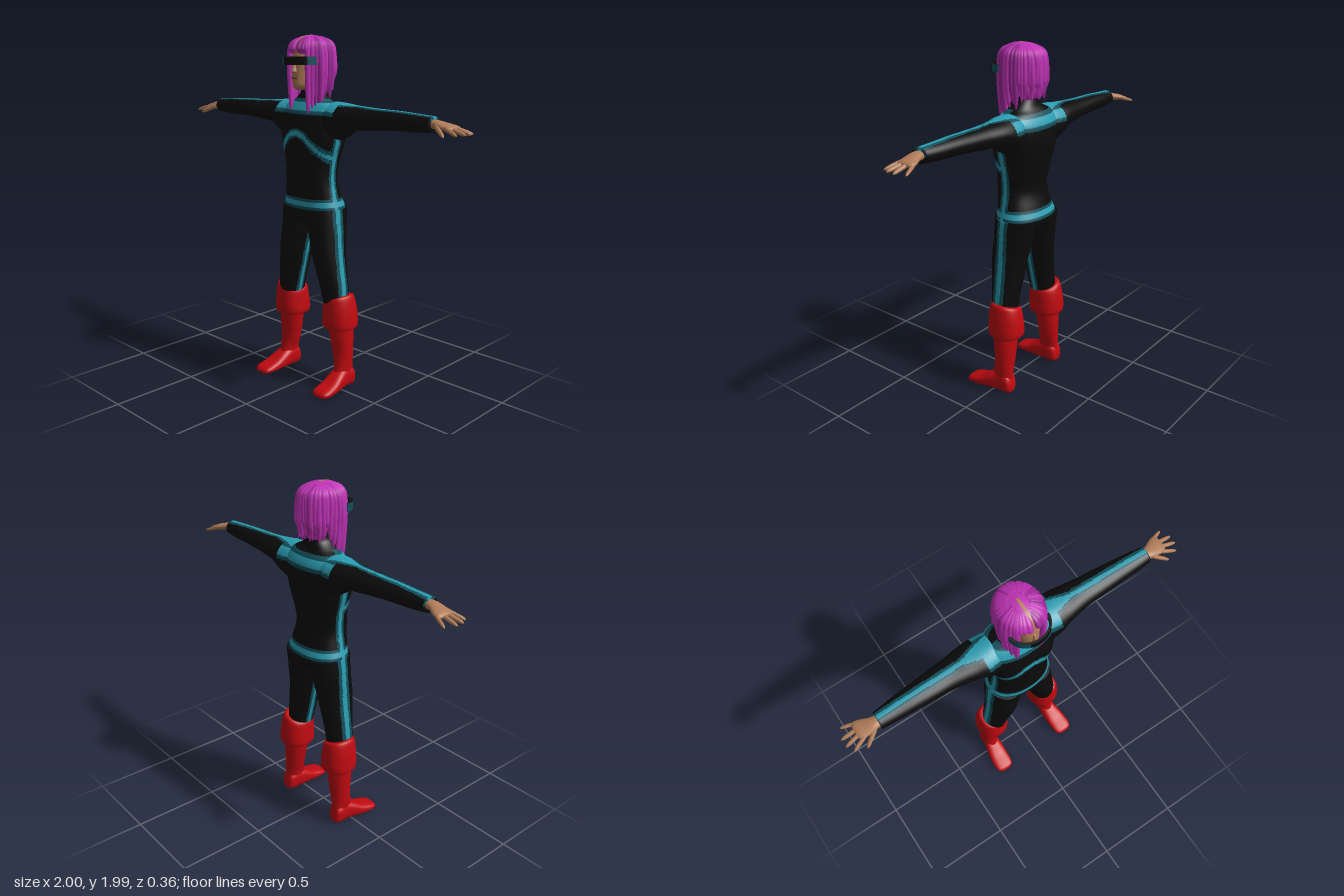
import * as THREE from 'three';

const mat = (name, color) => Object.assign(new THREE.MeshStandardMaterial({ color }), { name });
const black = mat('suit black', 0x0b0b0b);
const darkTeal = mat('dark teal', 0x124f5b);
const teal = mat('bright teal', 0x2b9db1);
const red = mat('boot red', 0xc00a10);
const skin = mat('skin', 0xb07c58);
const lips = mat('lip brown', 0x7a4a38);
const hair = mat('hair magenta', 0xc033b6);
const hairDark = mat('hair dark magenta', 0xa0289a);
const suit = [black, darkTeal, teal];

// Smooth loft through rings [t, u0, u1, v0, v1], t ascending.
// Axis y: u = x, v = z. Axis x: u = z, v = y. Axis z: u = y, v = x.
const place = {
  y: (t, u, v) => [u, t, v],
  x: (t, u, v) => [t, v, u],
  z: (t, u, v) => [v, u, t],
};
function loft(axis, rings, sides = 24, steps = 24, power = 1) {
  const at = (s) => {
    const i = Math.min(Math.floor(s), rings.length - 2), f = s - i;
    const p = [-1, 0, 1, 2].map((k) => rings[THREE.MathUtils.clamp(i + k, 0, rings.length - 1)]);
    return p[0].map((_, c) => {
      const [a, b, d, e] = p.map((r) => r[c]);
      return b + 0.5 * f * (d - a + f * (2 * a - 5 * b + 4 * d - e + f * (3 * (b - d) + e - a)));
    });
  };
  const bend = (w) => Math.sign(w) * Math.abs(w) ** power;
  const pos = [], index = [];
  for (let i = 0; i <= steps; i++) {
    const [t, u0, u1, v0, v1] = at((i / steps) * (rings.length - 1));
    for (let j = 0; j < sides; j++) {
      const q = (j / sides) * Math.PI * 2;
      const u = (u0 + u1) / 2 + ((u1 - u0) / 2) * bend(Math.cos(q));
      const v = (v0 + v1) / 2 + ((v1 - v0) / 2) * bend(Math.sin(q));
      pos.push(...place[axis](t, u, v));
      if (i === steps) continue;
      const a = i * sides + j, c = i * sides + ((j + 1) % sides);
      index.push(a, a + sides, c, a + sides, c + sides, c);
    }
  }
  // end caps
  [rings[0], rings[rings.length - 1]].forEach(([t, u0, u1, v0, v1], end) => {
    const centre = pos.length / 3, base = end * steps * sides;
    pos.push(...place[axis](t, (u0 + u1) / 2, (v0 + v1) / 2));
    for (let j = 0; j < sides; j++) {
      const a = base + j, b = base + ((j + 1) % sides);
      index.push(centre, ...(end ? [b, a] : [a, b]));
    }
  });
  const g = new THREE.BufferGeometry();
  g.setAttribute('position', new THREE.Float32BufferAttribute(pos, 3));
  g.setIndex(index);
  g.computeVertexNormals();
  return g;
}

// Sort the triangles into material groups by a rule on their centres.
function paint(g, rule) {
  const p = g.attributes.position;
  const idx = g.index ? [...g.index.array] : [...Array(p.count).keys()];
  const bins = [[], [], []];
  for (let i = 0; i < idx.length; i += 3) {
    const tri = idx.slice(i, i + 3);
    const mid = (get) => tri.reduce((s, k) => s + p[get](k), 0) / 3;
    bins[rule(mid('getX'), mid('getY'), mid('getZ'))].push(...tri);
  }
  g.setIndex(bins.flat());
  g.clearGroups();
  let start = 0;
  bins.forEach((b, m) => { if (b.length) g.addGroup(start, b.length, m); start += b.length; });
  return g;
}

function mirrorX(g) {
  const m = g.clone().scale(-1, 1, 1), a = m.index.array;
  for (let i = 0; i < a.length; i += 3) [a[i + 1], a[i + 2]] = [a[i + 2], a[i + 1]];
  m.computeVertexNormals();
  return m;
}

// Stripe rules: 2 = bright core, 1 = dark edge, 0 = plain suit
const band = (d, core, edge) => (Math.abs(d) < core ? 2 : Math.abs(d) < edge ? 1 : 0);
const yoke = (y, z) => band(y - (z > -0.04 ? 1.605 : 1.585), 0.022, 0.042);
const waist = (y) => band(y - 1.07, 0.015, 0.03);
function torsoRule(x, y, z) {
  const ax = Math.abs(x);
  const chevron = z > 0 ? band(y - 1.465 + (ax > 0.05 ? ax - 0.035 : ax * 0.3), 0.014, 0.022 + 0.12 * ax) : 0;
  const side = ax > 0.12 && y < 1.5 && y > 1 ? band(z + 0.018, 0.013, 0.028) : 0;
  return Math.max(yoke(y, z), waist(y), chevron, side);
}
function legRule(x, y, z) {
  const mid = 0.1 + (0.95 - y) * 0.18;
  const stripe = x > mid ? band(z + 0.025, 0.015, 0.036) : y < 0.88 ? band(z + 0.025, 0.01, 0.026) : 0;
  return Math.max(stripe, waist(y));
}
function armRule(x, y, z) {
  const wide = Math.max(0, 0.32 - x) * 0.3;
  const stripe = y > 1.56 ? band(z + 0.042, 0.011 + wide, 0.028 + wide) : 0;
  return Math.max(stripe, x < 0.22 ? yoke(y, z) : 0);
}

export function createModel() {
  const model = new THREE.Group();
  const add = (name, g, m) => {
    const mesh = new THREE.Mesh(g, m);
    mesh.name = name;
    model.add(mesh);
  };
  const pair = (name, g, m) => {
    add(name + 'Left', g, m);
    add(name + 'Right', mirrorX(g), m);
  };

  // Torso with neck: [y, half width, back, front]
  const torso = [
    [0.93, 0.07, -0.1, 0.03], [0.97, 0.15, -0.15, 0.07], [1.03, 0.192, -0.175, 0.09],
    [1.1, 0.175, -0.155, 0.092], [1.2, 0.158, -0.13, 0.098], [1.3, 0.165, -0.145, 0.102],
    [1.4, 0.19, -0.165, 0.113], [1.48, 0.205, -0.172, 0.108], [1.56, 0.213, -0.165, 0.085],
    [1.61, 0.185, -0.14, 0.06], [1.645, 0.115, -0.11, 0.04], [1.68, 0.07, -0.095, 0.035],
    [1.72, 0.06, -0.08, 0.04],
  ].map(([y, w, b, f]) => [y, -w, w, b, f]);
  add('torso', paint(loft('y', torso, 96, 120, 0.9), torsoRule), suit);

  // Legs
  pair('leg', paint(loft('y', [
    [0.5, 0.11, 0.25, -0.11, 0.045], [0.6, 0.085, 0.243, -0.11, 0.055], [0.7, 0.06, 0.228, -0.12, 0.07],
    [0.8, 0.035, 0.215, -0.13, 0.083], [0.93, 0.003, 0.205, -0.152, 0.082], [1.04, 0, 0.193, -0.17, 0.085],
  ], 72, 60), legRule), suit);

  // Arms
  pair('arm', paint(loft('x', [
    [0.06, -0.12, 0.03, 1.47, 1.6], [0.14, -0.15, 0.06, 1.42, 1.63], [0.21, -0.155, 0.065, 1.435, 1.63],
    [0.28, -0.148, 0.05, 1.48, 1.622], [0.4, -0.13, 0.03, 1.497, 1.615], [0.5, -0.12, 0.025, 1.505, 1.612],
    [0.6, -0.11, 0.02, 1.51, 1.61], [0.7, -0.1, 0.015, 1.512, 1.605], [0.805, -0.085, 0.008, 1.518, 1.6],
  ], 64, 80), armRule), suit);

  // Hands: palm, then fingers as [start, end, radius]
  pair('palm', loft('x', [
    [0.78, -0.068, -0.012, 1.535, 1.585], [0.83, -0.076, -0.003, 1.538, 1.582], [0.88, -0.1, 0, 1.53, 1.57],
    [0.91, -0.106, -0.005, 1.53, 1.562], [0.925, -0.09, -0.02, 1.538, 1.552],
  ], 20, 16), skin);
  [
    [[0.89, 1.547, -0.012], [0.975, 1.522, 0.018], 0.012],
    [[0.9, 1.547, -0.038], [0.998, 1.524, -0.022], 0.012],
    [[0.9, 1.547, -0.064], [1, 1.523, -0.066], 0.012],
    [[0.89, 1.546, -0.09], [0.975, 1.52, -0.122], 0.011],
    [[0.83, 1.555, -0.015], [0.915, 1.513, 0.036], 0.015],
  ].forEach(([a, b, r], i) => {
    const rings = [[0, 1], [0.5, 0.95], [0.85, 0.75], [1, 0.2]].map(([f, k]) => {
      const [x, y, z] = a.map((v, c) => v + (b[c] - v) * f);
      return [x, z - r * k, z + r * k, y - r * k, y + r * k];
    });
    pair(i < 4 ? 'finger' + (i + 1) : 'thumb', loft('x', rings, 10, 9), skin);
  });

  // Boots: shaft, foot and slanted cuff
  pair('bootShaft', loft('y', [
    [0.06, 0.18, 0.265, -0.115, 0.03], [0.12, 0.177, 0.266, -0.113, 0.012], [0.2, 0.155, 0.27, -0.115, 0.005],
    [0.3, 0.135, 0.272, -0.12, 0.015], [0.4, 0.12, 0.27, -0.12, 0.02],
  ]), red);
  pair('bootFoot', loft('z', [
    [-0.118, 0.015, 0.06, 0.2, 0.25], [-0.1, 0, 0.11, 0.18, 0.268], [-0.04, 0, 0.125, 0.175, 0.27],
    [0.02, 0, 0.1, 0.173, 0.282], [0.08, 0, 0.066, 0.174, 0.293], [0.14, 0, 0.046, 0.178, 0.296],
    [0.17, 0.001, 0.035, 0.19, 0.285], [0.182, 0.008, 0.02, 0.215, 0.26],
  ], 28, 28, 0.75), red);
  const cuff = loft('y', [
    [0.355, 0.13, 0.262, -0.115, 0.015], [0.365, 0.098, 0.288, -0.15, 0.048], [0.45, 0.1, 0.283, -0.148, 0.052],
    [0.525, 0.106, 0.268, -0.132, 0.045], [0.54, 0.125, 0.25, -0.115, 0.03],
  ], 32, 20, 0.9);
  const cp = cuff.attributes.position;
  for (let i = 0; i < cp.count; i++) cp.setY(i, cp.getY(i) + (cp.getX(i) - 0.19) * (cp.getY(i) - 0.36) * 1.5);
  cuff.computeVertexNormals();
  pair('bootCuff', cuff, red);

  // Head, nose and mouth
  add('head', loft('y', [
    [1.695, -0.025, 0.025, 0.03, 0.1], [1.715, -0.043, 0.043, 0, 0.116], [1.75, -0.06, 0.06, -0.06, 0.118],
    [1.79, -0.07, 0.07, -0.1, 0.117], [1.84, -0.078, 0.078, -0.115, 0.113], [1.9, -0.08, 0.08, -0.12, 0.1],
    [1.95, -0.06, 0.06, -0.09, 0.07],
  ], 32, 30), skin);
  add('nose', loft('y', [
    [1.784, -0.006, 0.006, 0.09, 0.122], [1.791, -0.015, 0.015, 0.09, 0.137],
    [1.81, -0.011, 0.011, 0.09, 0.132], [1.85, -0.008, 0.008, 0.09, 0.118],
  ], 12, 10), skin);
  const mouth = new THREE.BoxGeometry(0.042, 0.01, 0.008);
  add('mouth', mouth.translate(0, 1.757, 0.114), lips);

  // Wraparound visor
  const arc = new THREE.Shape();
  arc.absellipse(0, 0.065, 0.112, 0.095, 0, Math.PI, false, 0);
  arc.absellipse(0, 0.065, 0.1, 0.083, Math.PI, 0, true, 0);
  const visor = new THREE.ExtrudeGeometry(arc, { depth: 0.044, bevelEnabled: false, curveSegments: 32 });
  visor.rotateX(Math.PI / 2).translate(0, 1.872, 0);
  add('visor', paint(visor, (x, y) => (y > 1.83 && y < 1.87 && (x < -0.045 || x > 0.095) ? 1 : 0)), suit);

  // Hair: crown with a parting, and the mass behind the head
  const crown = loft('y', [
    [1.885, -0.1, 0.1, -0.135, 0.102], [1.91, -0.104, 0.104, -0.138, 0.106], [1.95, -0.085, 0.085, -0.115, 0.09],
    [1.975, -0.045, 0.045, -0.07, 0.05], [1.984, -0.008, 0.008, -0.02, 0],
  ], 64, 24);
  add('hairCrown', paint(crown, (x, y, z) => (Math.abs(x) < 0.008 && z > -0.03 ? 1 : 0)), [hair, skin]);
  add('hairBack', loft('y', [
    [1.7, -0.08, 0.08, -0.115, -0.04], [1.75, -0.1, 0.1, -0.138, -0.01],
    [1.85, -0.108, 0.108, -0.142, 0.02], [1.91, -0.1, 0.1, -0.135, 0.03],
  ], 32, 16), hair);

  // Hair locks hanging all round: short fringe, long by the face, medium behind
  let seed = 7;
  const noise = () => ((seed = (seed * 16807) % 2147483647) / 2147483647) * 2 - 1;
  for (const s of [-1, 1]) for (let deg = 14; deg <= 178; deg += 9) {
    const q = THREE.MathUtils.degToRad(deg + noise() * 3);
    const tip = deg < 38 ? 1.885 + noise() * 0.015
      : (deg < 85 ? 1.59 : deg < 112 ? 1.66 : 1.7) + noise() * 0.025;
    const ring = (y, k, r) => {
      const x = s * 0.112 * Math.sin(q) * k, z = -0.015 + 0.13 * Math.cos(q) * k;
      return [y, x - r, x + r, z - r, z + r];
    };
    const body = deg < 38 ? [] : [ring(tip + 0.05, 0.94, 0.012), ring(1.8, 1 + noise() * 0.04, 0.016)];
    const rings = [ring(tip, 0.92 + noise() * 0.06, 0.002), ...body,
      ring(1.91, 0.96, 0.016), ring(1.952, 0.78, 0.015), ring(1.976, 0.4, 0.009)];
    add('hairLock', loft('y', rings, 8, 16), Math.abs(noise()) > 0.75 ? hairDark : hair);
  }
  return model;
}
